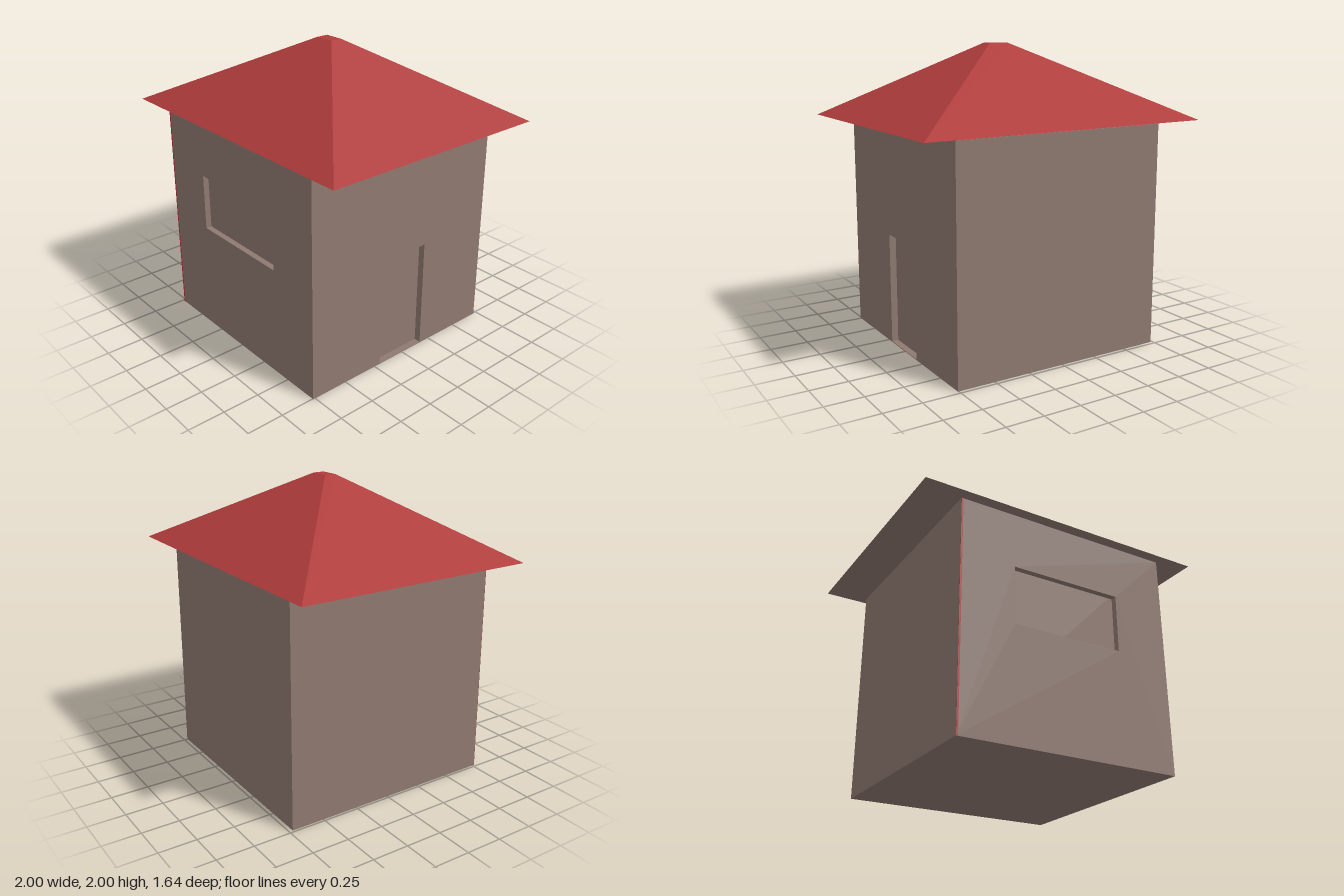
import * as THREE from 'three';

const material = (name, color) => {
  const m = new THREE.MeshStandardMaterial({ color });
  m.name = name;
  return m;
};

const rect = (Type, x0, y0, x1, y1) => new Type([
  new THREE.Vector2(x0, y0), new THREE.Vector2(x1, y0),
  new THREE.Vector2(x1, y1), new THREE.Vector2(x0, y1),
]);

export function createModel() {
  const house = new THREE.Group();
  house.name = 'house';
  const stone = material('brown wall', 0x8e7970);
  const red = material('red roof', 0xaf3c3c);

  const add = (name, geometry, mat) => {
    const mesh = new THREE.Mesh(geometry, mat);
    mesh.name = name;
    house.add(mesh);
    return mesh;
  };
  // Box given by its two opposite corners
  const box = (name, [x0, y0, z0], [x1, y1, z1], mat) => {
    const g = new THREE.BoxGeometry(x1 - x0, y1 - y0, z1 - z0);
    g.translate((x0 + x1) / 2, (y0 + y1) / 2, (z0 + z1) / 2);
    return add(name, g, mat);
  };

  const top = 1.49, left = -0.735, right = 0.755, back = -0.725, front = 0.765;
  const windowDepth = 0.04, doorDepth = 0.045;
  const innerX = right - doorDepth, innerZ = front - windowDepth;

  // Solid core, whose faces form the backs of the recesses
  box('houseCore', [left, 0, back], [innerX, top, innerZ], stone);

  // Front wall with the window recess
  const frontShape = rect(THREE.Shape, left, 0, right, top);
  frontShape.holes.push(rect(THREE.Path, -0.365, 0.745, 0.385, 1.125));
  const frontWall = new THREE.ExtrudeGeometry(frontShape, { depth: windowDepth, bevelEnabled: false });
  frontWall.translate(0, 0, innerZ);
  add('frontWall', frontWall, stone);

  // Side wall with the door recess, drawn along -z and turned to face +x
  const sideShape = new THREE.Shape([
    [-innerZ, 0], [-0.205, 0], [-0.205, 0.75], [0.17, 0.75],
    [0.17, 0], [-back, 0], [-back, top], [-innerZ, top],
  ].map(([x, y]) => new THREE.Vector2(x, y)));
  const sideWall = new THREE.ExtrudeGeometry(sideShape, { depth: doorDepth, bevelEnabled: false });
  sideWall.rotateY(Math.PI / 2).translate(innerX, 0, 0);
  add('doorWall', sideWall, stone);
  box('doorThreshold', [innerX, 0, -0.17], [right, 0.004, 0.205], stone);

  // Narrow red strip on the front corner
  box('cornerStrip', [left, 0, front], [left + 0.012, top, front + 0.002], red);

  // Hipped roof with a small flat top and a brown underside
  const eaves = [[-1, 0.82], [1, 0.815], [1, -0.825], [-1, -0.815]].map(([x, z]) => [x, 1.507, z]);
  const ridge = [[-0.03, 0.065], [0.105, 0.065], [0.105, -0.015], [-0.03, -0.015]].map(([x, z]) => [x, 2, z]);
  const points = [];
  const quad = (a, b, c, d) => points.push(...a, ...b, ...c, ...a, ...c, ...d);
  for (let i = 0; i < 4; i++) {
    const j = (i + 1) % 4;
    quad(eaves[i], eaves[j], ridge[j], ridge[i]);
  }
  quad(...ridge);
  quad(...[...eaves].reverse());
  const roof = new THREE.BufferGeometry();
  roof.setAttribute('position', new THREE.Float32BufferAttribute(points, 3));
  roof.computeVertexNormals();
  roof.addGroup(0, 30, 0);
  roof.addGroup(30, 6, 1);
  add('roof', roof, [red, stone]);

  return house;
}
